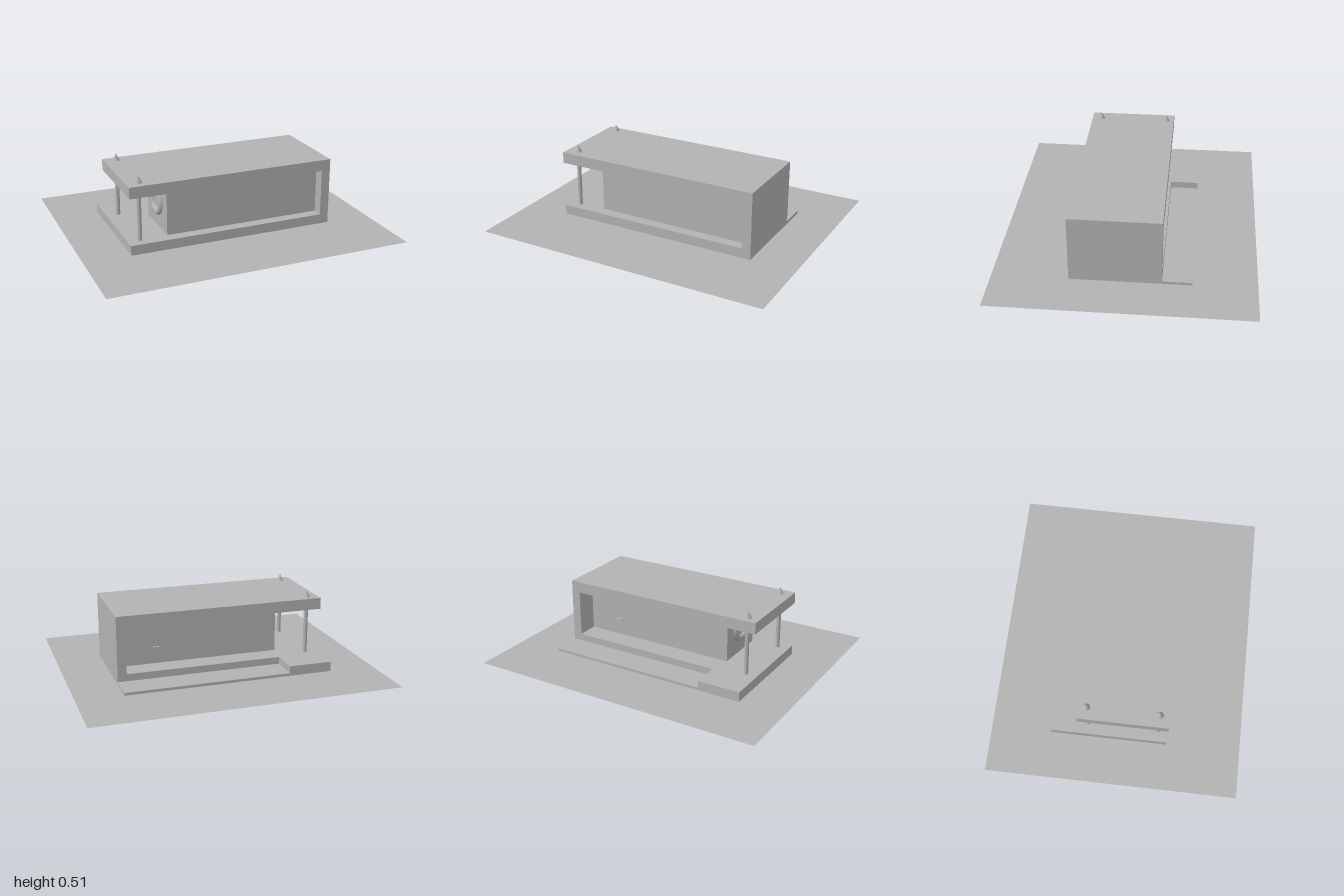
import * as THREE from 'three';

export function createModel() {
  const model = new THREE.Group();
  const grey = new THREE.MeshStandardMaterial({ color: 0xb2b2b2 });
  const greySheet = new THREE.MeshStandardMaterial({ color: 0xb2b2b2, side: THREE.DoubleSide });
  greySheet.name = 'greySheet';
  grey.name = 'grey';

  const add = (name, geometry, x = 0, y = 0, z = 0, material = grey) => {
    const mesh = new THREE.Mesh(geometry, material);
    mesh.name = name;
    mesh.position.set(x, y, z);
    model.add(mesh);
    return mesh;
  };
  // box given by its low and high limits on each axis
  const box = (name, x0, x1, y0, y1, z0, z1) =>
    add(name, new THREE.BoxGeometry(x1 - x0, y1 - y0, z1 - z0), (x0 + x1) / 2, (y0 + y1) / 2, (z0 + z1) / 2);

  const base = 0.015, floorTop = 0.08, ceiling = 0.39, roofTop = 0.465;
  const end = 0.695, front = 0.345, back = -0.24, terraceBack = -0.43;

  // thin ground sheet
  add('ground', new THREE.PlaneGeometry(2, 1.67).rotateX(-Math.PI / 2), 0, base, 0, greySheet);

  // floor, end wall and roof as one C-shaped band
  const profile = new THREE.Shape([
    [-end, base], [end, base], [end, roofTop], [-end, roofTop],
    [-end, ceiling], [0.635, ceiling], [0.635, floorTop], [-end, floorTop],
  ].map(([x, y]) => new THREE.Vector2(x, y)));
  add('frame', new THREE.ExtrudeGeometry(profile, { depth: front - back, bevelEnabled: false }), 0, 0, back);

  // enclosed room set back from both long sides
  box('room', -0.43, 0.635, floorTop, ceiling, -0.095, 0.272);

  // raised and low parts of the back terrace
  box('raisedTerrace', -end, -0.405, base, floorTop, terraceBack, back);
  box('lowTerrace', -0.405, end, base, 0.033, terraceBack, back);

  // ring on the open end of the room, and a small handle on its back
  add('ring', new THREE.TorusGeometry(0.08, 0.021, 16, 40).rotateY(Math.PI / 2), -0.43, 0.26, 0.09);
  box('handle', 0.385, 0.425, 0.185, 0.195, -0.11, -0.095);

  // posts through floor and roof, with pointed finials
  for (const z of [0.28, -0.185]) {
    add('post', new THREE.CylinderGeometry(0.014, 0.014, roofTop, 24), -0.615, roofTop / 2, z);
    add('finial', new THREE.ConeGeometry(0.024, 0.046, 24), -0.615, roofTop + 0.023, z);
  }
  return model;
}
